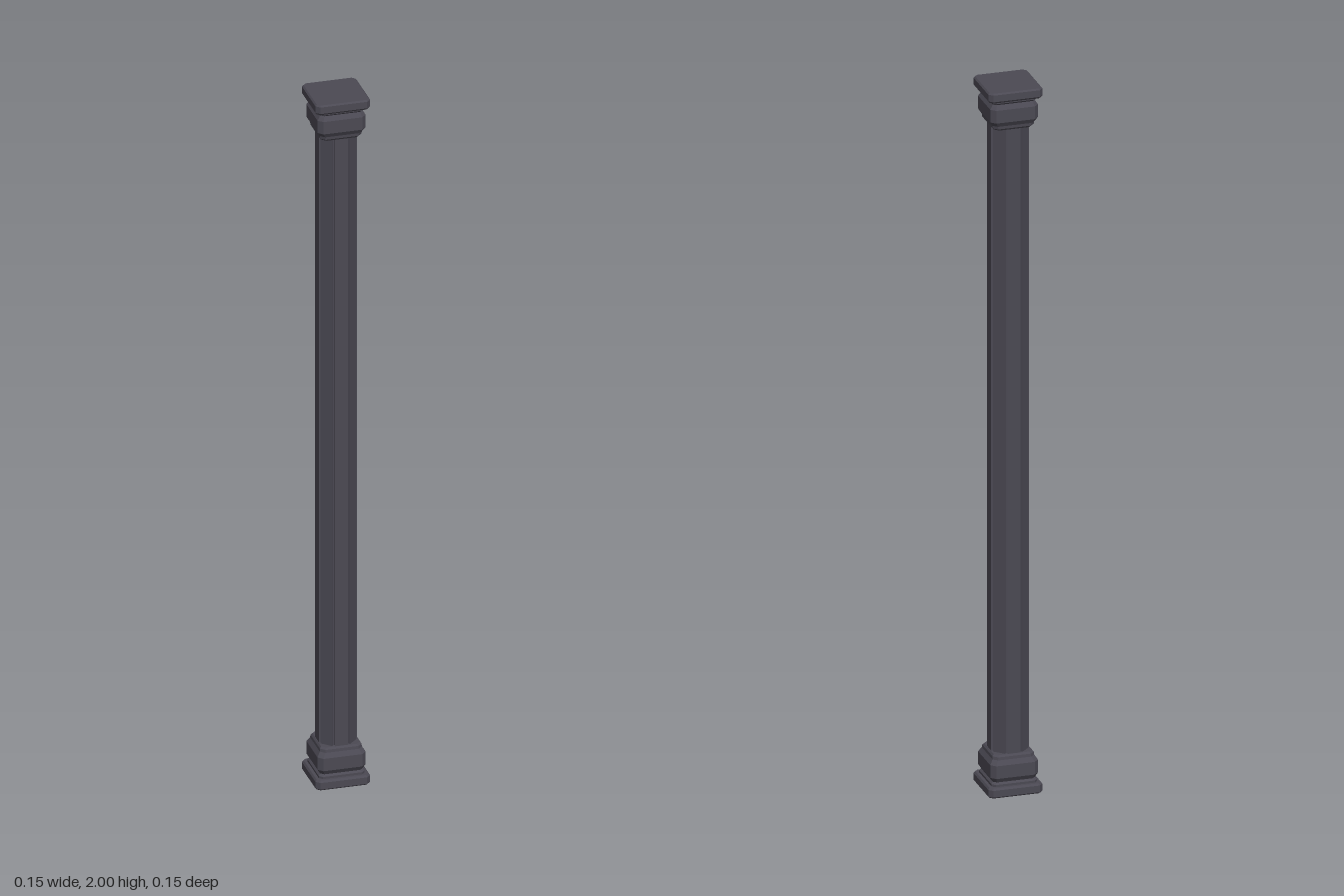
import * as THREE from 'three';

// Closed loft through rings of [x, y, z] points, counter-clockwise from above
function loft(rings) {
  const pos = [];
  const tri = (...p) => p.forEach((v) => pos.push(...v));
  const n = rings[0].length;
  const bottom = rings[0], top = rings[rings.length - 1];
  for (let i = 0; i < n; i++) {
    const j = (i + 1) % n;
    for (let r = 0; r < rings.length - 1; r++) {
      const a = rings[r], b = rings[r + 1];
      tri(a[i], a[j], b[j]);
      tri(a[i], b[j], b[i]);
    }
    tri([0, top[0][1], 0], top[i], top[j]);
    tri([0, bottom[0][1], 0], bottom[j], bottom[i]);
  }
  const geo = new THREE.BufferGeometry();
  geo.setAttribute('position', new THREE.Float32BufferAttribute(pos, 3));
  geo.computeVertexNormals();
  return geo;
}

// Square ring with cut corners
function squareRing([y, half, cut]) {
  const ring = [];
  for (let k = 0; k < 4; k++) {
    const c = Math.round(Math.cos(k * Math.PI / 2)), s = Math.round(Math.sin(k * Math.PI / 2));
    for (const side of [-1, 1]) {
      const v = side * (half - cut);
      ring.push([half * c - v * s, y, -(half * s + v * c)]);
    }
  }
  return ring;
}

// Eight-sided ring with a groove at every corner
function shaftRing(y) {
  const ring = [];
  const add = (angle, r, v) => {
    const c = Math.cos(angle), s = Math.sin(angle);
    ring.push([r * c - v * s, y, -(r * s + v * c)]);
  };
  for (let k = 0; k < 8; k++) {
    const a = k * Math.PI / 4;
    add(a, 0.052, -0.0175);
    add(a, 0.052, 0.0175);
    add(a + Math.PI / 8, 0.048, -0.002);
    add(a + Math.PI / 8, 0.048, 0.002);
  }
  return ring;
}

export function createModel() {
  const group = new THREE.Group();
  const material = new THREE.MeshStandardMaterial({ color: 0x4b4953, flatShading: true });
  const add = (name, rings) => {
    const mesh = new THREE.Mesh(loft(rings), material);
    mesh.name = name;
    group.add(mesh);
  };

  // Profiles as [height, half width, corner cut]
  const plinth = [[0, 0.071, 0.008], [0.004, 0.075, 0.011], [0.023, 0.075, 0.011], [0.028, 0.071, 0.008]];
  const moulding = [
    [0.027, 0.063, 0.009], [0.034, 0.063, 0.009], [0.039, 0.058, 0.009], [0.044, 0.061, 0.01],
    [0.052, 0.066, 0.013], [0.088, 0.066, 0.013], [0.096, 0.061, 0.012],
    [0.101, 0.058, 0.012], [0.109, 0.057, 0.012], [0.114, 0.053, 0.012],
  ];
  const flip = (profile) => profile.map(([y, h, c]) => [2 - y, h, c]).reverse();

  // Base
  add('plinth', plinth.map(squareRing));
  add('baseMoulding', moulding.map(squareRing));

  // Grooved shaft
  add('shaft', [shaftRing(0.1), shaftRing(1.9)]);

  // Capital mirrors the base
  add('capitalMoulding', flip(moulding).map(squareRing));
  add('abacus', flip(plinth).map(squareRing));

  return group;
}
